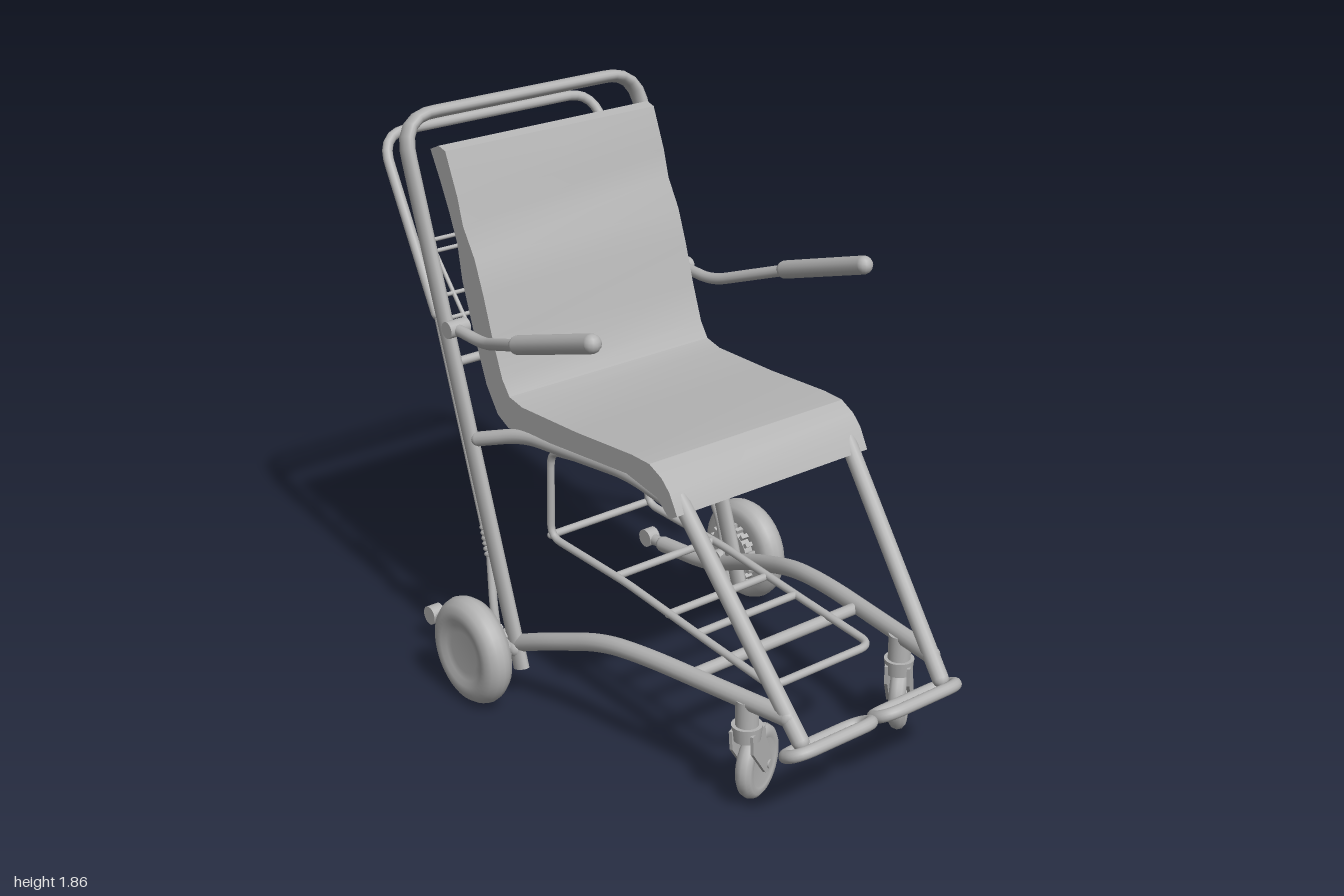
import * as THREE from 'three';
import { toCreasedNormals } from 'three/addons/utils/BufferGeometryUtils.js';

const V = (p) => new THREE.Vector3(...p);

// Polyline with rounded corners
function bentPath(points, radius, closed = false) {
  const p = points.map(V), n = p.length, path = new THREE.CurvePath();
  const corner = (i) => {
    const c = p[i], a = p[(i + n - 1) % n], b = p[(i + 1) % n];
    const toward = (q) => c.clone().lerp(q, Math.min(radius / c.distanceTo(q), 0.48));
    return [toward(a), c, toward(b)];
  };
  let last = closed ? corner(0)[2] : p[0];
  for (let k = 1; k < (closed ? n + 1 : n - 1); k++) {
    const [a, c, b] = corner(k % n);
    path.add(new THREE.LineCurve3(last, a));
    path.add(new THREE.QuadraticBezierCurve3(a, c, b));
    last = b;
  }
  if (!closed) path.add(new THREE.LineCurve3(last, p[n - 1]));
  return path;
}

export function createModel() {
  const model = new THREE.Group();
  const grey = new THREE.MeshStandardMaterial({ color: 0xb3b3b3 });
  grey.name = 'grey';

  const add = (name, geometry, parent = model, pos = [0, 0, 0]) => {
    const mesh = new THREE.Mesh(geometry, grey);
    mesh.name = name;
    mesh.position.set(...pos);
    parent.add(mesh);
    return mesh;
  };
  const tube = (name, points, r, bend = 0.06, closed = false) => {
    const straight = points.length === 2;
    const path = straight ? new THREE.LineCurve3(V(points[0]), V(points[1])) : bentPath(points, bend, closed);
    const mesh = add(name, new THREE.TubeGeometry(path, straight ? 1 : 72, r, 14, closed));
    if (!closed) {
      for (const end of [points[0], points[points.length - 1]]) {
        const cap = add(name + 'End', new THREE.SphereGeometry(r, 14, 8), mesh, end);
        cap.scale.setScalar(0.99);
      }
    }
    return mesh;
  };
  const across = (name, x, y, halfWidth, r) => tube(name, [[x, y, -halfWidth], [x, y, halfWidth]], r);

  // Moulded seat shell, narrowing toward the front
  const profile = [
    [-0.70, 1.75], [-0.655, 1.77], [-0.62, 1.76], [-0.565, 1.625], [-0.54, 1.535], [-0.485, 1.44],
    [-0.445, 1.33], [-0.405, 1.2], [-0.36, 1.075], [-0.325, 1.025], [-0.26, 1.01], [0.01, 1.015],
    [0.275, 1.03], [0.355, 1.027], [0.41, 1.0], [0.445, 0.965], [0.48, 0.9], [0.445, 0.88],
    [0.39, 0.93], [0.25, 0.96], [-0.26, 0.925], [-0.335, 0.915], [-0.39, 0.945], [-0.445, 1.03],
    [-0.5, 1.18], [-0.555, 1.35], [-0.575, 1.47], [-0.61, 1.56], [-0.65, 1.65],
  ];
  const seat = new THREE.ExtrudeGeometry(
    new THREE.Shape(profile.map(([x, y]) => new THREE.Vector2(x, y))), { depth: 1, bevelEnabled: false });
  const sp = seat.attributes.position;
  for (let i = 0; i < sp.count; i++) {
    const half = THREE.MathUtils.mapLinear(sp.getX(i), -0.7, 0.48, 0.418, 0.383);
    sp.setZ(i, (sp.getZ(i) - 0.5) * 2 * half);
  }
  add('seatShell', toCreasedNormals(seat, 0.35));

  // Leaning back frame: oval tube bent into an arch
  const arch = new THREE.TubeGeometry(
    bentPath([[-0.467, 0, 0], [-0.467, 1.81, 0], [0.467, 1.81, 0], [0.467, 0, 0]], 0.12), 120, 0.021, 16);
  arch.scale(1, 1, 1.65);
  arch.applyMatrix4(new THREE.Matrix4().makeBasis(V([0, 0, 1]), V([-0.316, 0.949, 0]), V([-0.949, -0.316, 0])));
  add('backFrame', arch, model, [-0.217, 0.12, 0]);
  across('backCrossbar', -0.54, 1.09, 0.46, 0.015);

  // Rear push handle and folding wire rack
  tube('pushHandle', [[-0.65, 1.22, -0.455], [-0.98, 1.735, -0.425], [-0.98, 1.735, 0.425], [-0.65, 1.22, 0.455]], 0.017, 0.1);
  for (const z of [-0.37, -0.14, 0.13, 0.36]) tube('rackRod', [[-0.84, 1.435, z], [-0.63, 1.19, z]], 0.007);
  for (const [x, y] of [[-0.815, 1.405], [-0.79, 1.375], [-0.69, 1.26], [-0.64, 1.2]]) across('rackCrossRod', x, y, 0.43, 0.007);

  // Wire shelf under the seat
  for (const s of [-1, 1]) {
    tube('shelfSide', [[-0.045, 0.93, s * 0.205], [-0.09, 0.81, s * 0.205], [-0.39, 0.76, s * 0.205],
      [-0.4, 0.445, s * 0.205], [0, 0.435, s * 0.205], [0.42, 0.395, s * 0.205]], 0.013, 0.05);
  }
  tube('shelfFront', [[0.42, 0.395, -0.205], [0.71, 0.37, -0.205], [0.71, 0.37, 0.205], [0.42, 0.395, 0.205]], 0.013, 0.05);
  for (const [x, y, w] of [[-0.4, 0.45, 0.205], [-0.05, 0.435, 0.205], [0.22, 0.41, 0.205], [0.36, 0.4, 0.205]]) {
    across('shelfCrossbar', x, y, w, 0.013);
  }
  across('railCrossbar', 0.5, 0.365, 0.35, 0.02);

  // Wheel profiles, turned about their axle
  const wheelProfile = [[0, -0.04], [0.1, -0.045], [0.14, -0.05], [0.163, -0.04], [0.177, -0.02], [0.182, 0],
    [0.177, 0.02], [0.163, 0.04], [0.14, 0.05], [0.115, 0.049], [0.095, 0.04], [0.07, 0.036], [0, 0.036]];
  const casterProfile = [[0, -0.02], [0.075, -0.02], [0.08, -0.026], [0.1, -0.026], [0.113, -0.016], [0.118, 0],
    [0.113, 0.016], [0.1, 0.026], [0.08, 0.026], [0.075, 0.02], [0, 0.02]];
  const turned = (pts) => new THREE.LatheGeometry(pts.map(([x, y]) => new THREE.Vector2(x, y)), 40);

  for (const s of [-1, 1]) {
    // Seat rail running into the front leg
    tube('seatRail', [[-0.43, 0.86, s * 0.46], [-0.27, 0.91, s * 0.395], [0.22, 0.94, s * 0.355], [0.44, 0.9, s * 0.34]], 0.024, 0.08);
    tube('frontLeg', [[0.42, 0.95, s * 0.34], [0.93, 0.315, s * 0.288]], 0.027);

    // Lower rail continuing into the rear tipping lever
    tube('lowerRail', [[0.88, 0.375, s * 0.295], [0.33, 0.365, s * 0.375], [0.14, 0.345, s * 0.4], [-0.14, 0.245, s * 0.45],
      [-0.38, 0.135, s * 0.47], [-0.64, 0.11, s * 0.47]], 0.029, 0.1);
    tube('tippingLever', [[-0.6, 0.115, s * 0.47], [-0.7, 0.108, s * 0.47]], 0.02);
    const knob = add('leverKnob', new THREE.CylinderGeometry(0.033, 0.033, 0.045, 18), model, [-0.722, 0.11, s * 0.47]);
    knob.rotation.x = Math.PI / 2;

    // Footrest loop
    tube('footrest', [[0.975, 0.305, s * 0.335], [0.975, 0.305, s * 0.02], [0.89, 0.26, s * 0.02], [0.89, 0.26, s * 0.335]], 0.02, 0.07, true);

    // Armrest with pad and clamp
    tube('armrestTube', [[-0.53, 1.21, s * 0.465], [-0.37, 1.205, s * 0.465], [-0.08, 1.305, s * 0.535], [0, 1.33, s * 0.535]], 0.019, 0.06);
    tube('armrestPad', [[-0.085, 1.305, s * 0.535], [0.28, 1.42, s * 0.535]], 0.03);
    const clamp = add('armrestClamp', new THREE.CylinderGeometry(0.028, 0.028, 0.075, 16), model, [-0.53, 1.21, s * 0.46]);
    clamp.rotation.x = Math.PI / 2;

    // Release rod, spring and brake linkage behind the back frame
    tube('releaseRod', [[-0.65, 1.23, s * 0.455], [-0.41, 0.5, s * 0.455]], 0.011);
    const spring = new THREE.Group();
    spring.name = 'spring';
    spring.position.set(-0.4, 0.51, s * 0.455);
    spring.rotation.z = 0.25;
    model.add(spring);
    for (let i = 0; i < 6; i++) {
      const coil = add('coil', new THREE.TorusGeometry(0.017, 0.006, 6, 14), spring, [0, (i - 2.5) * 0.018, 0]);
      coil.rotation.x = Math.PI / 2;
    }
    tube('brakeLink', [[-0.385, 0.46, s * 0.46], [-0.34, 0.3, s * 0.485], [-0.3, 0.1, s * 0.485]], 0.014, 0.05);

    // Rear wheel with toothed brake ring and axle
    const wheel = new THREE.Group();
    wheel.name = 'rearWheel';
    wheel.position.set(-0.32, 0.185, s * 0.585);
    wheel.rotation.x = s * Math.PI / 2;
    model.add(wheel);
    add('tyre', turned(wheelProfile), wheel);
    add('brakeRing', new THREE.CylinderGeometry(0.095, 0.095, 0.035, 32), wheel, [0, -0.06, 0]);
    add('axle', new THREE.CylinderGeometry(0.03, 0.03, 0.1, 16), wheel, [0.0, -0.09, 0]);
    for (let i = 0; i < 20; i++) {
      const a = (i / 20) * Math.PI * 2;
      const tooth = add('brakeTooth', new THREE.BoxGeometry(0.02, 0.03, 0.015), wheel, [0.1 * Math.cos(a), -0.06, 0.1 * Math.sin(a)]);
      tooth.rotation.y = -a;
    }
    tube('axleBracket', [[-0.24, 0.185, s * 0.47], [-0.32, 0.185, s * 0.49]], 0.03);
  }

  // Swivelling casters, each trailing in its own direction
  for (const [z, ux, uz] of [[-0.315, -0.62, -0.78], [0.315, -0.4, -0.92]]) {
    const caster = new THREE.Group();
    caster.name = 'caster';
    caster.position.set(0.725, 0, z);
    caster.rotation.y = Math.atan2(-uz, ux);
    model.add(caster);
    add('casterStem', new THREE.CylinderGeometry(0.036, 0.036, 0.1, 20), caster, [0, 0.325, 0]);
    add('casterSwivel', new THREE.CylinderGeometry(0.048, 0.042, 0.05, 20), caster, [0, 0.265, 0]);
    add('casterWheel', turned(casterProfile), caster, [0.075, 0.122, 0]).rotation.x = Math.PI / 2;
    const fork = new THREE.Shape([[-0.042, 0.275], [-0.035, 0.21], [0.05, 0.105], [0.075, 0.095], [0.1, 0.115],
      [0.095, 0.145], [0.05, 0.23], [0.045, 0.275]].map(([x, y]) => new THREE.Vector2(x, y)));
    for (const side of [-0.04, 0.03]) {
      add('casterFork', new THREE.ExtrudeGeometry(fork, { depth: 0.01, bevelEnabled: false }), caster, [0, 0, side]);
    }
    add('casterAxle', new THREE.CylinderGeometry(0.014, 0.014, 0.09, 14), caster, [0.075, 0.122, 0]).rotation.x = Math.PI / 2;
  }
  return model;
}
